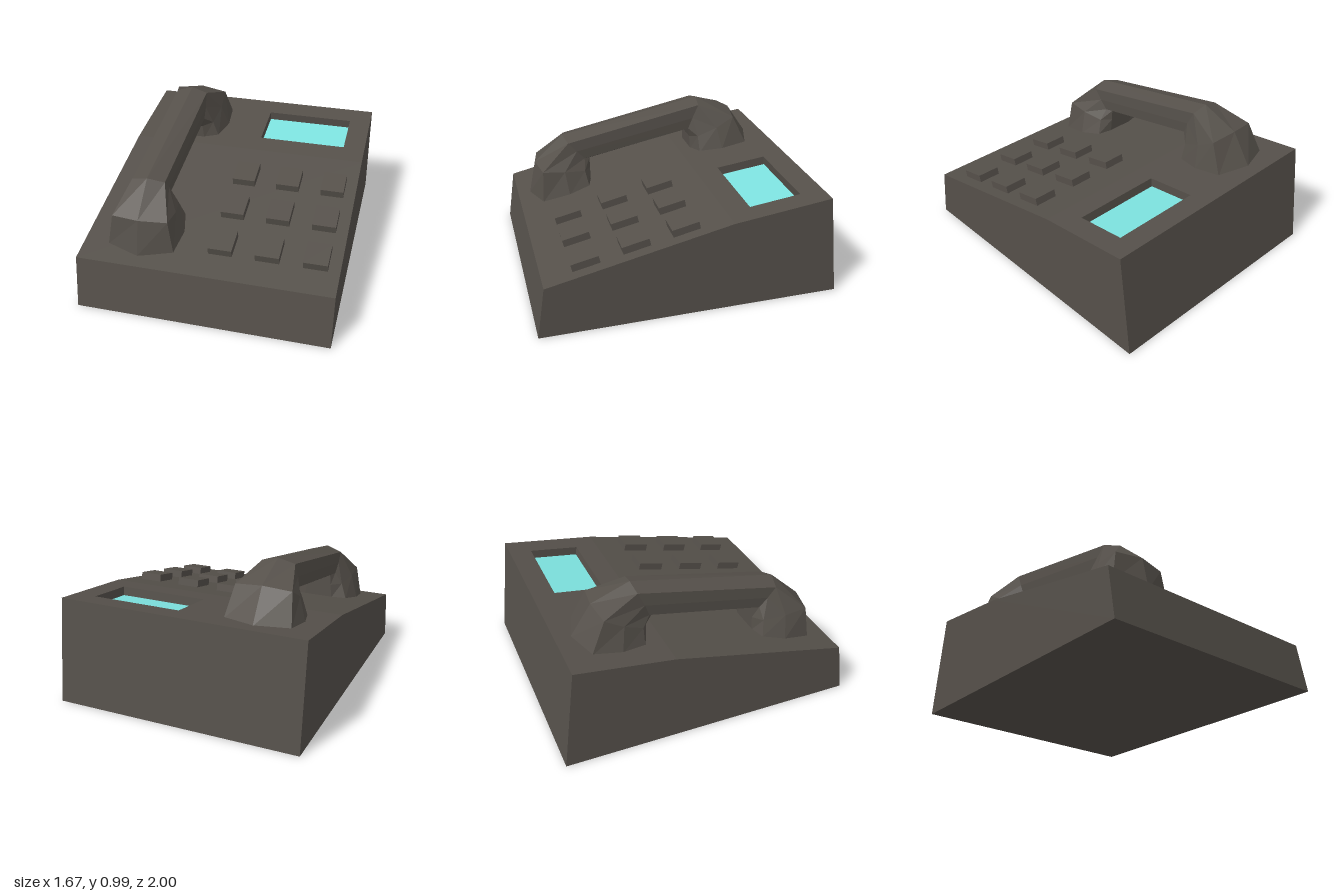
import * as THREE from 'three';

const dark = new THREE.MeshStandardMaterial({ color: 0x55504a, flatShading: true });
const cyan = new THREE.MeshStandardMaterial({ color: 0x7de2df, flatShading: true });

// Flat-shaded mesh from convex faces, each a counter-clockwise list of [x, y, z] corners
function facesMesh(name, faces, material) {
  const pos = [];
  for (const f of faces)
    for (let i = 1; i < f.length - 1; i++) pos.push(...f[0], ...f[i], ...f[i + 1]);
  const geo = new THREE.BufferGeometry();
  geo.setAttribute('position', new THREE.Float32BufferAttribute(pos, 3));
  geo.computeVertexNormals();
  const mesh = new THREE.Mesh(geo, material);
  mesh.name = name;
  return mesh;
}

// Strip of quads joining two closed loops of equal length
const bridge = (a, b) => a.map((p, i) => {
  const k = (i + 1) % a.length;
  return [p, a[k], b[k], b[i]];
});

const W = 0.835;
// Side outline of the housing as [z, y], from front bottom over the top to back bottom
const outline = [[1, 0], [0.945, 0.35], [-0.26, 0.615], [-0.915, 0.7], [-1, 0]];

// Height of the sloping top at depth z
function deckY(z) {
  const [, a, b, c] = outline;
  const [p, q] = z > b[0] ? [a, b] : [b, c];
  return p[1] + (z - p[0]) / (q[0] - p[0]) * (q[1] - p[1]);
}

function createHousing() {
  const faces = [];
  const rect = (x0, x1, [z0, y0], [z1, y1]) => [[x0, y0, z0], [x1, y0, z0], [x1, y1, z1], [x0, y1, z1]];

  // Outer skin, with the rear deck left open for the display
  outline.forEach((p, i) => {
    if (i !== 2) faces.push(rect(-W, W, p, outline[(i + 1) % outline.length]));
  });
  faces.push(outline.map(([z, y]) => [-W, y, z]));
  faces.push(outline.map(([z, y]) => [W, y, z]).reverse());

  // Rear deck framing the sunken display
  const deck = rect(-W, W, outline[2], outline[3]);
  const rim = rect(0.07, 0.685, [-0.415, deckY(-0.415)], [-0.76, deckY(-0.76)]);
  const floor = rim.map(([x, y, z]) => [x, y - 0.06, z - 0.008]);
  faces.push(...bridge(deck, rim), ...bridge(rim, floor));

  return [facesMesh('housing', faces, dark), facesMesh('displayScreen', [floor], cyan)];
}

function createKeypad() {
  const keypad = new THREE.Group();
  keypad.name = 'keypad';
  const h = 0.05, sink = 0.02;
  const geo = new THREE.BoxGeometry(0.155, h + sink, 0.18).translate(0, (h - sink) / 2, 0);
  for (let row = 0; row < 3; row++)
    for (let col = 0; col < 3; col++) {
      const key = new THREE.Mesh(geo, dark);
      const z = 0.025 + row * 0.321;
      key.name = `key${row * 3 + col + 1}`;
      key.position.set(0.068 + col * 0.306, deckY(z), z);
      key.rotation.x = Math.atan2(0.265, 1.205);
      keypad.add(key);
    }
  return keypad;
}

function createHandset() {
  // Half cross-sections [x, z, y] from the outer ridge to the inner side, front cup to back cup
  const sections = [
    [[0, 0.86, 0.37], [0.22, 0.79, 0.38], [0.24, 0.6, 0.42], [0.2, 0.45, 0.455], [0.1, 0.42, 0.46]],
    [[0, 0.81, 0.605], [0.185, 0.775, 0.595], [0.19, 0.62, 0.58], [0.16, 0.47, 0.56], [0.09, 0.42, 0.555]],
    [[0, 0.6, 0.795], [0.11, 0.575, 0.765], [0.115, 0.515, 0.7], [0.11, 0.46, 0.637], [0.085, 0.42, 0.63]],
    [[0, -0.41, 0.99], [0.11, -0.4, 0.96], [0.115, -0.355, 0.865], [0.11, -0.325, 0.785], [0.085, -0.3, 0.77]],
    [[0, -0.67, 0.89], [0.185, -0.645, 0.87], [0.19, -0.52, 0.8], [0.16, -0.385, 0.735], [0.09, -0.34, 0.715]],
    [[0, -0.81, 0.68], [0.22, -0.74, 0.67], [0.24, -0.55, 0.645], [0.2, -0.39, 0.62], [0.1, -0.345, 0.615]],
  ];
  const loops = sections.map((half) => {
    const right = half.map(([x, z, y]) => [x, y, z]);
    const left = right.slice(1).reverse().map(([x, y, z]) => [-x, y, z]);
    return [...right, ...left];
  });
  const faces = [[...loops[0]].reverse(), loops[loops.length - 1]];
  for (let i = 0; i < loops.length - 1; i++) faces.push(...bridge(loops[i], loops[i + 1]));
  const handset = facesMesh('handset', faces, dark);
  handset.position.x = -0.45;
  return handset;
}

export function createModel() {
  const model = new THREE.Group();
  model.name = 'deskTelephone';
  model.add(...createHousing(), createKeypad(), createHandset());
  return model;
}
